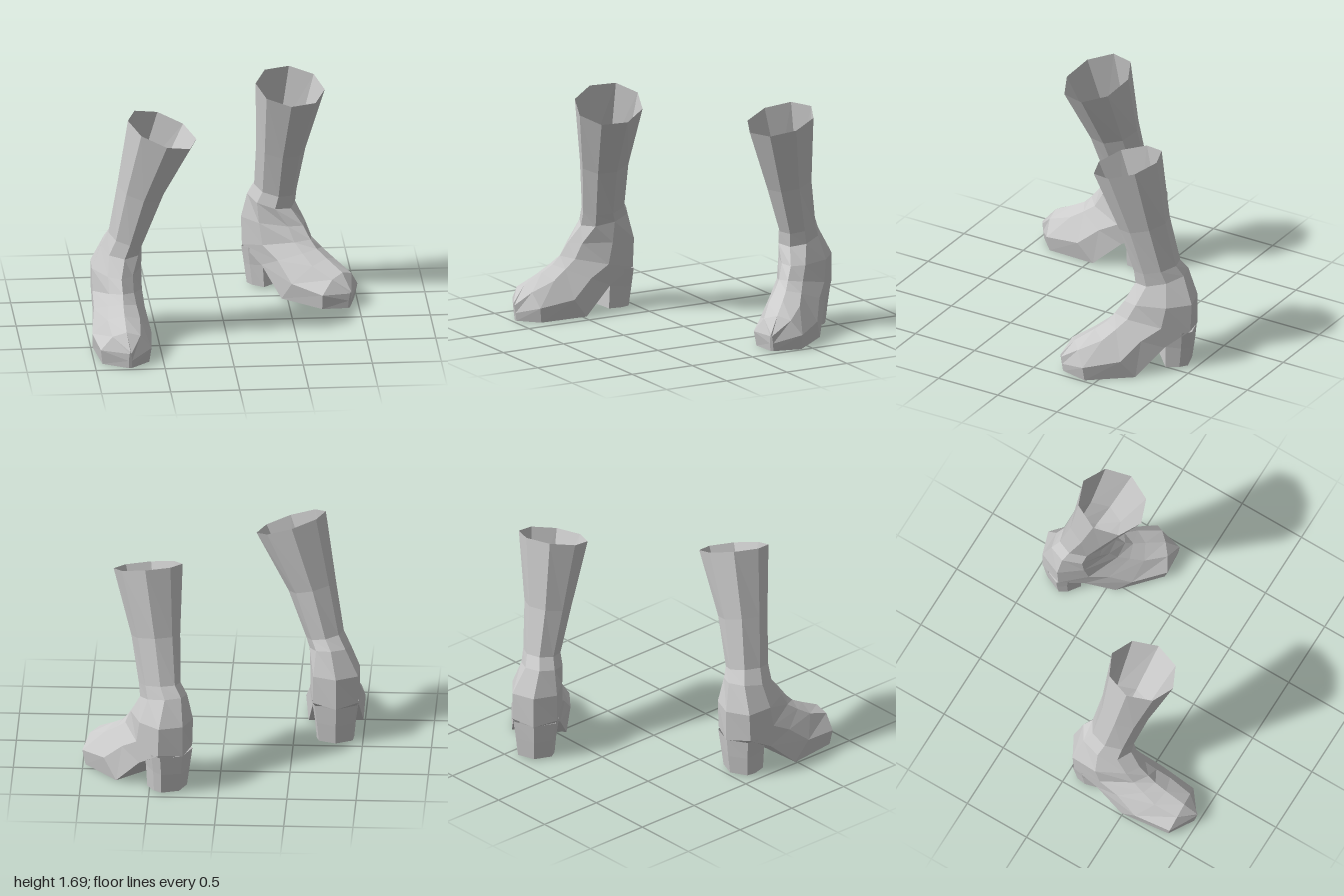
import * as THREE from 'three';

const material = new THREE.MeshStandardMaterial({
  color: 0xcccccc, flatShading: true, side: THREE.DoubleSide,
});

// Half outlines of a cross-section: [front-to-back fraction, half-width fraction]
const ROUND = [[0, 0], [0.146, 0.707], [0.5, 1], [0.854, 0.707], [1, 0]];
const CUP = [[0, 0], [0.12, 0.5], [0.5, 1], [0.86, 0.9], [1, 0]];
const FOOT = [[0, 0], [0.12, 0.55], [0.55, 1], [1, 0.92], [1, 0]];
const BLOCK = [[0, 0], [0, 0.85], [0.45, 1], [0.75, 0.9], [1, 0]];

// Eight-point ring between a front and a back point, each [z, y];
// s = sideways offset (outward), w = half-width, tilt = rise towards the outside
function ring(side, { front, back, s = 0, w, tilt = 0, shape }) {
  const half = shape.map(([u, v]) => [u, v]);
  const mirrored = half.slice(1, 4).reverse().map(([u, v]) => [u, -v]);
  return [...half, ...mirrored].map(([u, v]) => [
    side * s + v * w,
    front[1] + (back[1] - front[1]) * u + tilt * side * v * w,
    front[0] + (back[0] - front[0]) * u,
  ]);
}

// Skin a stack of rings, optionally closing the last one
function loft(name, rings, cap) {
  const n = 8, positions = rings.flat(2), index = [];
  for (let i = 0; i < rings.length - 1; i++) {
    for (let j = 0; j < n; j++) {
      const k = (j + 1) % n;
      const a = i * n + j, b = a + n, c = (i + 1) * n + k, d = i * n + k;
      index.push(a, b, c, a, c, d);
    }
  }
  if (cap) {
    const o = (rings.length - 1) * n;
    for (let j = 1; j < n - 1; j++) index.push(o, o + j + 1, o + j);
  }
  const geometry = new THREE.BufferGeometry();
  geometry.setAttribute('position', new THREE.Float32BufferAttribute(positions, 3));
  geometry.setIndex(index);
  geometry.computeVertexNormals();
  const mesh = new THREE.Mesh(geometry, material);
  mesh.name = name;
  return mesh;
}

// Shaft ring from its centre, radii and slopes
const shaftRing = ({ z, s, y, r, w = r, slope, tilt }) => ({
  front: [z + r, y + slope * r], back: [z - r, y - slope * r], s, w, tilt, shape: ROUND,
});

// Instep, heel cup, arch, ball and toe sections
const FOOT_RINGS = [
  { front: [0.46, 0.64], back: [0.07, 0.72], s: -0.035, w: 0.15, tilt: 0.05, shape: ROUND },
  { front: [0.55, 0.52], back: [0.01, 0.52], w: 0.18, shape: CUP },
  { front: [0.62, 0.43], back: [0.01, 0.29], w: 0.18, shape: CUP },
  { front: [0.68, 0.37], back: [0.29, 0.2], s: 0.005, w: 0.185, shape: FOOT },
  { front: [0.77, 0.32], back: [0.51, 0], s: 0.01, w: 0.215, shape: FOOT },
  { front: [0.92, 0.245], back: [0.88, 0], s: 0.015, w: 0.185, shape: FOOT },
  { front: [1.02, 0.13], back: [1.0, 0], w: 0.012, shape: FOOT },
];

const HEEL_RINGS = [
  { front: [0.28, 0.31], back: [0.015, 0.29], w: 0.17, shape: BLOCK },
  { front: [0.27, 0.18], back: [0.03, 0.15], w: 0.15, shape: BLOCK },
  { front: [0.27, 0.01], back: [0.05, 0.01], w: 0.135, shape: BLOCK },
];

// One boot, heel at its origin and toe along +z; side is +1 for left, -1 for right
function boot(name, side, shaft) {
  const group = new THREE.Group();
  group.name = name;
  const upper = [...shaft.map(shaftRing), ...FOOT_RINGS].map((r) => ring(side, r));
  group.add(loft('bootUpper', upper, true));
  group.add(loft('heelBlock', HEEL_RINGS.map((r) => ring(side, r)), true));
  return group;
}

export function createModel() {
  const model = new THREE.Group();
  model.name = 'pairOfBoots';

  // Right boot, shaft leaning inwards
  const right = boot('rightBoot', -1, [
    { z: 0.404, s: -0.316, y: 1.6, r: 0.25, slope: -0.2, tilt: 0.33 },
    { z: 0.345, s: -0.165, y: 1.13, r: 0.185, w: 0.17, slope: -0.15, tilt: 0.25 },
    { z: 0.295, s: -0.073, y: 0.77, r: 0.17, w: 0.135, slope: -0.15, tilt: 0.2 },
  ]);
  right.position.set(-0.81, 0, -0.03);
  right.rotation.y = THREE.MathUtils.degToRad(3.4);

  // Left boot, turned outwards with the shaft leaning forwards
  const left = boot('leftBoot', 1, [
    { z: 0.506, s: -0.092, y: 1.6, r: 0.25, slope: -0.27, tilt: 0.12 },
    { z: 0.388, s: -0.065, y: 1.11, r: 0.185, w: 0.17, slope: -0.2, tilt: 0.1 },
    { z: 0.302, s: -0.03, y: 0.77, r: 0.17, w: 0.135, slope: -0.18, tilt: 0.08 },
  ]);
  left.position.set(0.25, 0, -0.94);
  left.rotation.y = THREE.MathUtils.degToRad(42.6);

  model.add(right, left);
  return model;
}
